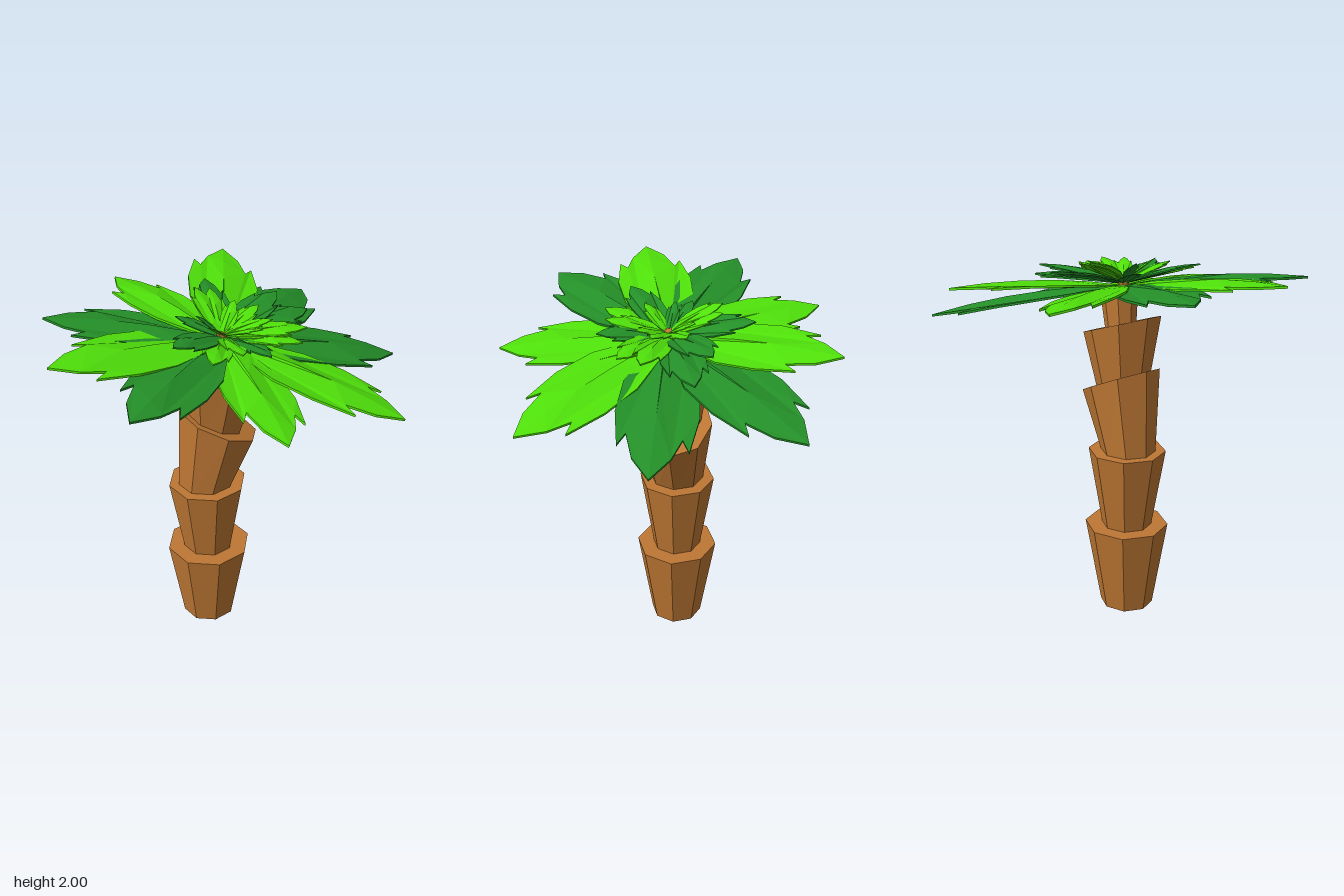
import * as THREE from 'three';

const mat = (color) =>
  new THREE.MeshStandardMaterial({ color, flatShading: true, side: THREE.DoubleSide });

// Octagonal trunk piece between two rings [x, y, z, radius, slope of the ring along x]
function trunkSegment(bottom, top, material) {
  const geo = new THREE.CylinderGeometry(1, 1, 1, 8);
  const p = geo.attributes.position;
  for (let i = 0; i < p.count; i++) {
    const [cx, cy, cz, r, slope] = p.getY(i) > 0 ? top : bottom;
    const dx = p.getX(i) * r;
    p.setXYZ(i, cx + dx, cy + slope * dx, cz + p.getZ(i) * r * 0.96);
  }
  geo.computeVertexNormals();
  return new THREE.Mesh(geo, material);
}

// Barbed half outline of a leaf: [along, half width]
const EDGE = [[0, 0.06], [0.16, 0.52], [0.38, 0.92], [0.6, 1], [0.82, 0.84],
  [0.75, 0.66], [0.87, 0.45], [1, 0]];
const RIB = [[0.8, 0], [0.6, 0], [0.4, 0], [0.2, 0], [0, 0]];

// The crown plane leans down towards +x
const CROWN_UP = new THREE.Vector3(0.2, 1, 0).normalize();

// Leaf from base to tip: two thin mirrored halves, arched and folded along the rib
function leaf(base, tip, halfWidth, bow, material) {
  const dir = tip.clone().sub(base);
  const length = dir.length();
  dir.normalize();
  const side = CROWN_UP.clone().cross(dir).normalize();
  const up = dir.clone().cross(side);
  const place = new THREE.Matrix4().makeBasis(dir, side, up).setPosition(base);
  const group = new THREE.Group();
  for (const s of [1, -1]) {
    const shift = s > 0 ? 0 : 0.03; // slightly uneven barbs
    const pts = [...EDGE, ...RIB].map(([u, w]) => new THREE.Vector2(
      (u - (w > 0.55 ? shift : 0)) * length, s * w * halfWidth));
    const geo = new THREE.ExtrudeGeometry(new THREE.Shape(pts),
      { depth: 0.012 * Math.min(1, length * 1.5), bevelEnabled: false });
    const p = geo.attributes.position;
    for (let i = 0; i < p.count; i++) {
      const u = p.getX(i) / length;
      const lift = bow * length * 4 * u * (1 - u) - 0.12 * Math.abs(p.getY(i));
      p.setZ(i, p.getZ(i) - 0.006 + lift);
    }
    geo.applyMatrix4(place);
    geo.computeVertexNormals();
    const half = new THREE.Mesh(geo, material);
    half.name = s > 0 ? 'leafHalfA' : 'leafHalfB';
    group.add(half);
  }
  return group;
}

export function createModel() {
  const model = new THREE.Group();
  model.name = 'palmTree';
  const bark = mat(0xbe7834);
  const light = mat(0x4fe00a);
  const dark = mat(0x249028);

  // Trunk: stacked flared segments leaning at the top, then a stub and a thin stem
  const trunk = new THREE.Group();
  trunk.name = 'trunk';
  const segments = [
    [[-0.107, 0, -0.037, 0.15, 0], [-0.105, 0.49, -0.037, 0.236, 0]],
    [[-0.107, 0.47, -0.037, 0.138, 0], [-0.11, 0.93, -0.037, 0.217, 0]],
    [[-0.125, 0.9, -0.037, 0.148, 0], [-0.047, 1.315, -0.03, 0.214, -0.45]],
    [[-0.07, 1.27, -0.03, 0.14, -0.4], [-0.04, 1.62, -0.017, 0.213, -0.34]],
    [[-0.035, 1.57, -0.02, 0.082, -0.3], [-0.01, 1.76, -0.01, 0.1, -0.3]],
    [[-0.035, 1.72, 0, 0.03, -0.3], [-0.03, 1.86, 0, 0.03, -0.3]],
  ];
  segments.forEach(([bottom, top], i) => {
    const mesh = trunkSegment(bottom, top, bark);
    mesh.name = `trunkSegment${i + 1}`;
    trunk.add(mesh);
  });
  model.add(trunk);

  // Crown: each leaf is [tip x, y, z, isDark]
  const addLeaves = (name, tips, baseY, widthRatio, bow) => {
    const group = new THREE.Group();
    group.name = name;
    const base = new THREE.Vector3(-0.03, baseY, 0);
    tips.forEach(([x, y, z, isDark], i) => {
      const tip = new THREE.Vector3(x, y, z);
      const w = widthRatio * base.distanceTo(tip);
      const l = leaf(base, tip, w, bow, isDark ? dark : light);
      l.name = `${name}${i + 1}`;
      group.add(l);
    });
    model.add(group);
  };

  addLeaves('outerLeaf', [
    [0.23, 1.89, -0.9, 0], [0.67, 1.64, -0.76, 1], [0.95, 1.56, -0.04, 1],
    [0.72, 1.6, 0.65, 0], [0.03, 1.73, 0.89, 0], [-0.67, 1.88, 0.72, 1],
    [-0.96, 1.95, 0.26, 0], [-0.9, 1.93, -0.28, 1], [-0.43, 1.87, -0.76, 0],
  ], 1.82, 0.205, 0.035);

  addLeaves('middleLeaf', [
    [0, 1.95, -0.45, 1], [0.35, 1.91, -0.27, 1], [0.5, 1.82, -0.2, 1],
    [0.4, 1.87, 0.08, 0], [0.33, 1.86, 0.21, 0], [0.12, 1.89, 0.35, 1],
    [-0.02, 1.91, 0.33, 0], [-0.18, 1.9, 0.36, 0], [-0.35, 1.96, 0.25, 1],
    [-0.25, 1.94, -0.1, 1],
  ], 1.84, 0.2, 0.05);

  addLeaves('innerLeaf', [
    [-0.1, 2, -0.27, 0], [-0.02, 1.98, -0.28, 0], [0.08, 1.96, -0.15, 0],
    [0.2, 1.93, -0.12, 0], [0.22, 1.93, 0.05, 0], [0.14, 1.93, 0.14, 0],
    [-0.12, 1.97, 0.14, 0], [-0.16, 1.97, -0.02, 1],
  ], 1.85, 0.2, 0.05);

  return model;
}
